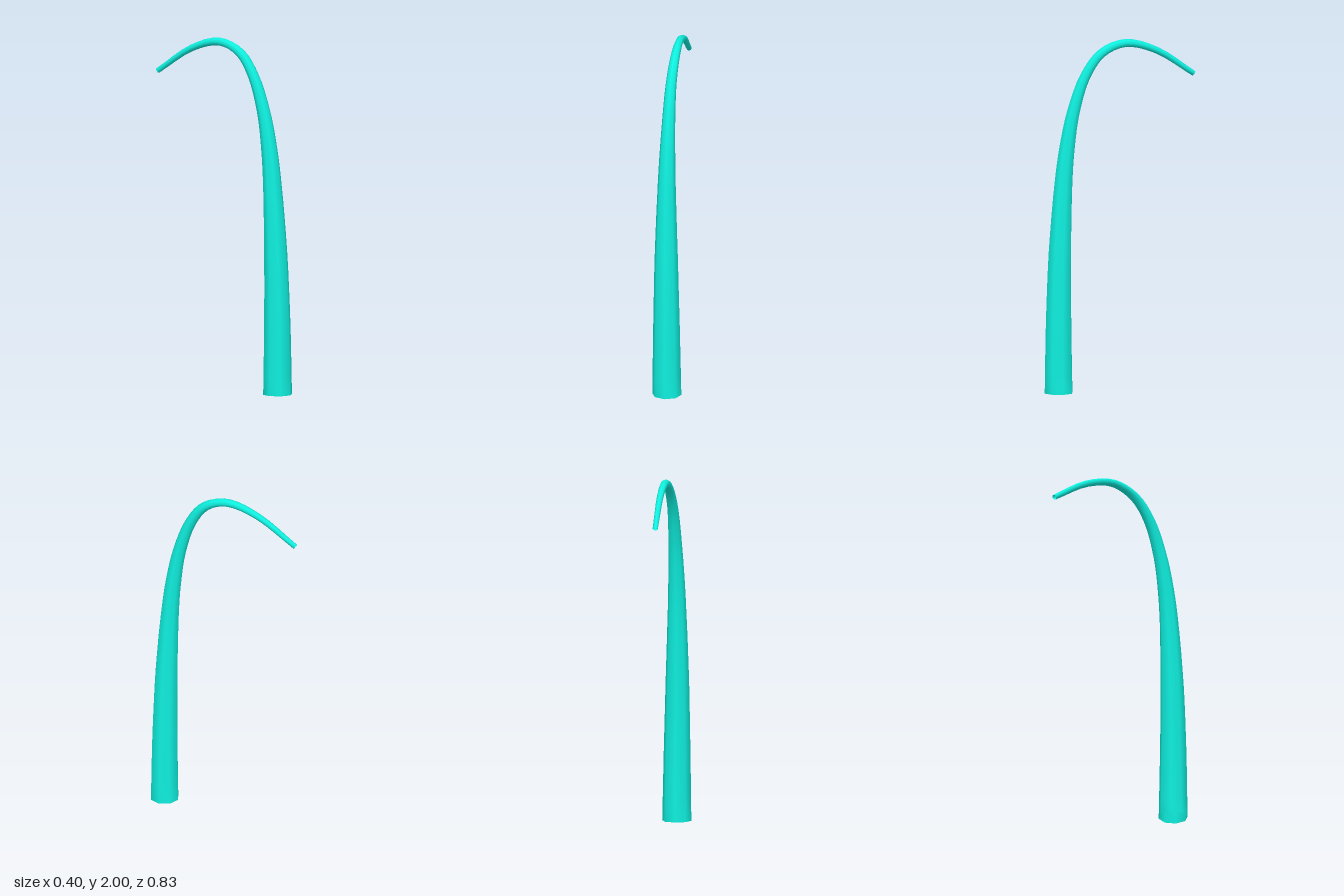
import * as THREE from 'three';

const SIDES = 8;
const RINGS = 40;

// Centre line of the horn with its radius: x, y, z, r
const stations = [
  [0.121, 0, 0.338, 0.083],
  [0.119, 0.4, 0.338, 0.076],
  [0.113, 0.8, 0.331, 0.067],
  [0.103, 1.2, 0.311, 0.053],
  [0.095, 1.4, 0.291, 0.046],
  [0.082, 1.6, 0.256, 0.038],
  [0.057, 1.8, 0.19, 0.031],
  [0.026, 1.926, 0.1, 0.027],
  [-0.025, 1.977, -0.03, 0.023],
  [-0.097, 1.928, -0.2, 0.019],
  [-0.19, 1.782, -0.406, 0.015],
];

// Tapered tube that bends within one upright plane, open at both ends
function taperedTube() {
  const path = new THREE.CatmullRomCurve3(stations.map(([x, y, z]) => new THREE.Vector3(x, y, z)));
  const side = new THREE.Vector3(0.744, 0, -0.311).normalize();
  side.set(0.92, 0, -0.39).normalize(); // horizontal, across the bend
  const positions = [];
  const index = [];
  const last = stations.length - 1;
  for (let i = 0; i <= RINGS; i++) {
    const t = i / RINGS;
    const k = Math.min(Math.floor(t * last), last - 1);
    const radius = THREE.MathUtils.lerp(stations[k][3], stations[k + 1][3], t * last - k);
    const centre = path.getPoint(t);
    const tangent = i === 0 ? new THREE.Vector3(0, 1, 0) : path.getTangent(t);
    const out = new THREE.Vector3().crossVectors(side, tangent).normalize();
    const across = new THREE.Vector3().crossVectors(tangent, out);
    for (let j = 0; j < SIDES; j++) {
      const a = (j / SIDES) * Math.PI * 2;
      const p = centre.clone()
        .addScaledVector(across, radius * Math.cos(a))
        .addScaledVector(out, radius * Math.sin(a));
      positions.push(p.x, p.y, p.z);
      if (i < RINGS) {
        const a0 = i * SIDES + j;
        const b0 = i * SIDES + ((j + 1) % SIDES);
        index.push(a0, b0, b0 + SIDES, a0, b0 + SIDES, a0 + SIDES);
      }
    }
  }
  const geometry = new THREE.BufferGeometry();
  geometry.setAttribute('position', new THREE.Float32BufferAttribute(positions, 3));
  geometry.setIndex(index);
  geometry.computeVertexNormals();
  return geometry;
}

export function createModel() {
  const group = new THREE.Group();
  group.name = 'curvedStalk';
  const material = new THREE.MeshStandardMaterial({ color: 0x0ff0df, side: THREE.DoubleSide });
  const stalk = new THREE.Mesh(taperedTube(), material);
  stalk.name = 'stalk';
  group.add(stalk);
  return group;
}
